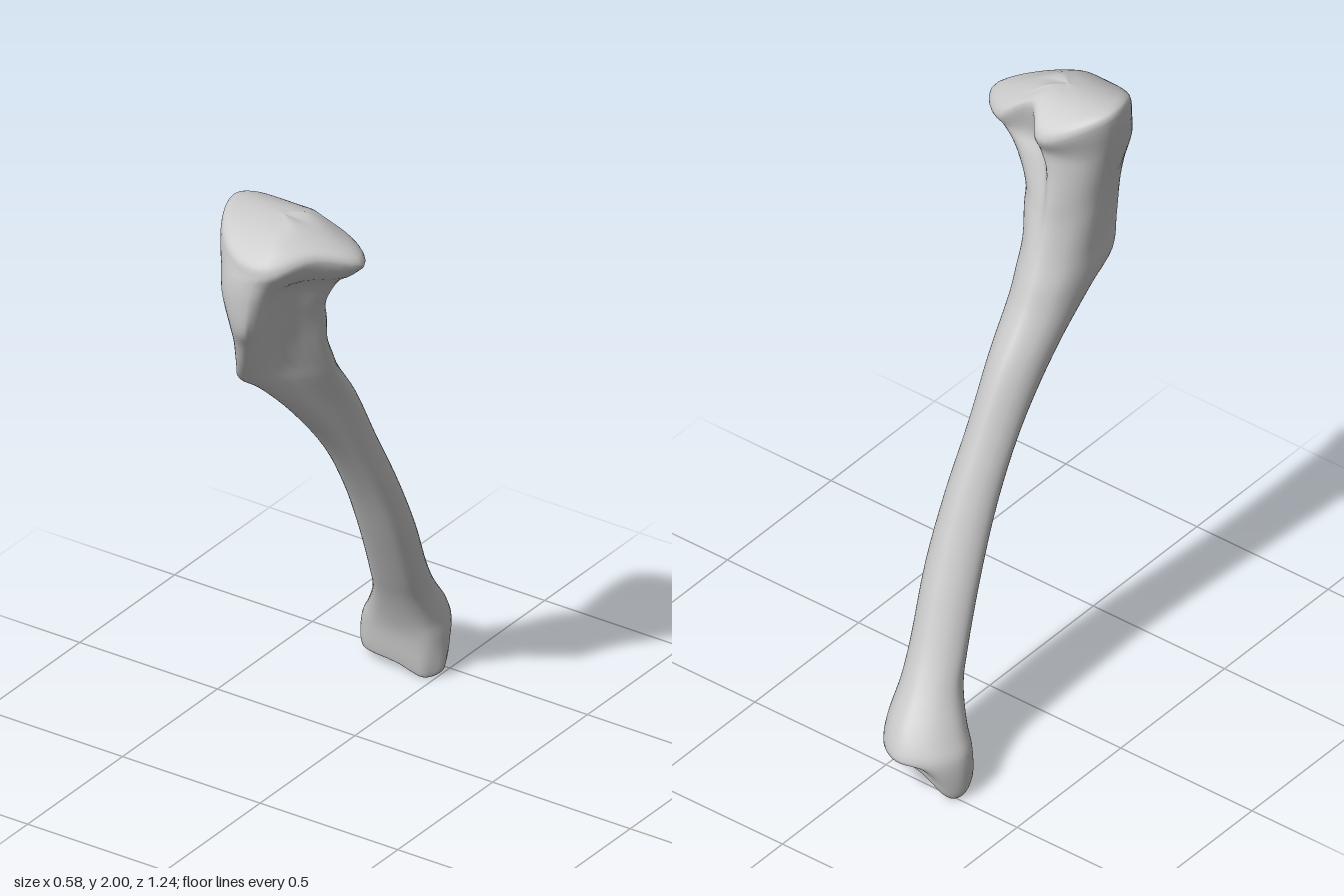
import * as THREE from 'three';

const lerp = THREE.MathUtils.lerp;
const AROUND = 48; // points around each ring
const STEPS = 4;   // rings between neighbouring sections

// y, xMin, xMax, zBack, zFront, crestX, crestHalfWidth, zOuter, zInner, hollow, notch
const shaft = [
  [0.14, -0.282, 0.018, -0.61, -0.38, -0.12, 0.08, -0.46, -0.48, -0.015, 0],
  [0.2, -0.25, 0.01, -0.585, -0.36, -0.11, 0.06, -0.46, -0.46, -0.02, 0],
  [0.3, -0.195, 0.005, -0.5, -0.315, -0.09, 0.045, -0.41, -0.41, -0.02, 0],
  [0.4, -0.17, 0.02, -0.43, -0.26, -0.07, 0.035, -0.345, -0.345, -0.02, 0],
  [0.6, -0.14, 0.048, -0.325, -0.155, -0.04, 0.03, -0.24, -0.24, -0.018, 0],
  [0.8, -0.12, 0.055, -0.22, -0.05, -0.03, 0.025, -0.135, -0.135, -0.016, 0],
  [1.0, -0.115, 0.05, -0.11, 0.075, -0.03, 0.02, -0.03, -0.02, -0.015, 0],
  [1.2, -0.12, 0.055, 0.0, 0.235, -0.05, 0.02, 0.08, 0.11, -0.008, 0],
];
const head = [
  [1.35, -0.125, 0.065, 0.11, 0.385, -0.075, 0.015, 0.19, 0.23, 0.005, 0],
  [1.42, -0.125, 0.072, 0.15, 0.475, -0.08, 0.015, 0.23, 0.27, 0.02, 0],
  [1.5, -0.12, 0.08, 0.195, 0.53, -0.05, 0.015, 0.27, 0.32, 0.03, 0],
  [1.6, -0.12, 0.1, 0.235, 0.575, -0.02, 0.02, 0.3, 0.36, 0.03, 0.01],
  [1.67, -0.122, 0.115, 0.25, 0.608, 0.0, 0.03, 0.33, 0.38, 0.035, 0.02],
  [1.78, -0.138, 0.18, 0.27, 0.61, 0.0, 0.055, 0.35, 0.39, 0.03, 0.04],
  [1.84, -0.15, 0.255, 0.27, 0.605, 0.01, 0.06, 0.37, 0.39, 0.01, 0.055],
];
const topRim = [0, -0.17, 0.288, 0.245, 0.6, 0.03, 0.06, 0.375, 0.39, 0, 0.065];
const bottomRim = [0, -0.286, 0.015, -0.58, -0.395, -0.13, 0.09, -0.45, -0.49, -0.005, 0];

// Rounded-triangle cross-section: front crest, outer side, notched back, inner side
function ring([y, x0, x1, zb, zf, cx, w, zl, zm, hollow, notch]) {
  const at = (t) => lerp(x0, x1, t);
  const bulge = 0.06 * (x1 - x0);
  const points = [
    [cx + w, zf],
    [(cx + w + x1) / 2 - hollow, (zf + zl) / 2 - hollow],
    [x1, zl],
    [at(0.8), lerp(zb, zl, 0.3)],
    [at(0.56), zb + notch],
    [at(0.4), zb],
    [at(0.12), lerp(zb, zm, 0.4)],
    [x0, zm],
    [(cx - w + x0) / 2 - bulge, (zf + zm) / 2 + bulge],
    [cx - w, zf],
  ].map(([x, z]) => new THREE.Vector3(x, y, z));
  const curve = new THREE.CatmullRomCurve3(points, true, 'centripetal');
  return Array.from({ length: AROUND }, (_, i) => curve.getPoint(i / AROUND));
}

// Shrinks a rim towards a centre and sets its height by a rule
function capRing(rim, cx, cz, scale, height) {
  return ring(rim).map((p) => {
    const x = lerp(cx, p.x, scale), z = lerp(cz, p.z, scale);
    return new THREE.Vector3(x, height(x, z), z);
  });
}

// Upper joint surface: highest in the middle, falling to front, back and outer side
function topHeight(x, z) {
  const dz = z - 0.4;
  return 2.0 - (dz > 0 ? 2.4 : 3.5) * dz * dz - 0.45 * Math.max(0, x - 0.08);
}

// Lower joint surface: raised back edge and two downward knobs
function bottomHeight(x, z) {
  const knob = (kx, kz) => Math.exp(-((x - kx) ** 2 + (z - kz) ** 2) / 0.004);
  const back = THREE.MathUtils.smoothstep(-z, 0.45, 0.59);
  return 0.035 + 0.085 * back - 0.035 * knob(-0.03, -0.42) - 0.07 * knob(-0.25, -0.52);
}

function boneGeometry() {
  const top = (s, drop) => capRing(topRim, 0.03, 0.42, s, (x, z) => topHeight(x, z) - drop);
  const bottom = (s, lift) => capRing(bottomRim, -0.13, -0.48, s, (x, z) => bottomHeight(x, z) + lift);
  const sections = [
    bottom(0.001, 0.03), bottom(0.4, 0.025), bottom(0.75, 0.01), bottom(0.93, 0), bottom(1, 0.02),
    ...shaft.map(ring),
    ...head.map(ring),
    top(1, 0.025), top(0.95, 0.003), top(0.7, 0), top(0.35, 0), top(0.001, 0),
  ];

  // Smooth lengthwise curves through matching points of all sections
  const rows = (sections.length - 1) * STEPS;
  const lines = Array.from({ length: AROUND }, (_, j) =>
    new THREE.CatmullRomCurve3(sections.map((s) => s[j]), false, 'centripetal'));
  const positions = [], index = [];
  for (let i = 0; i <= rows; i++) {
    for (const line of lines) {
      const p = line.getPoint(i / rows);
      positions.push(p.x, Math.max(0, p.y), p.z);
    }
  }
  for (let i = 0; i < rows; i++) {
    for (let j = 0; j < AROUND; j++) {
      const a = i * AROUND + j, b = i * AROUND + ((j + 1) % AROUND);
      index.push(a, b, a + AROUND, b, b + AROUND, a + AROUND);
    }
  }
  const geometry = new THREE.BufferGeometry();
  geometry.setAttribute('position', new THREE.Float32BufferAttribute(positions, 3));
  geometry.setIndex(index);
  geometry.computeVertexNormals();
  return geometry;
}

export function createModel() {
  const boneGrey = new THREE.MeshStandardMaterial({ color: 0xc8c8c8 });
  boneGrey.name = 'boneGrey';
  const bone = new THREE.Mesh(boneGeometry(), boneGrey);
  bone.name = 'shinBone';
  const group = new THREE.Group();
  group.name = 'legBone';
  group.add(bone);
  return group;
}
